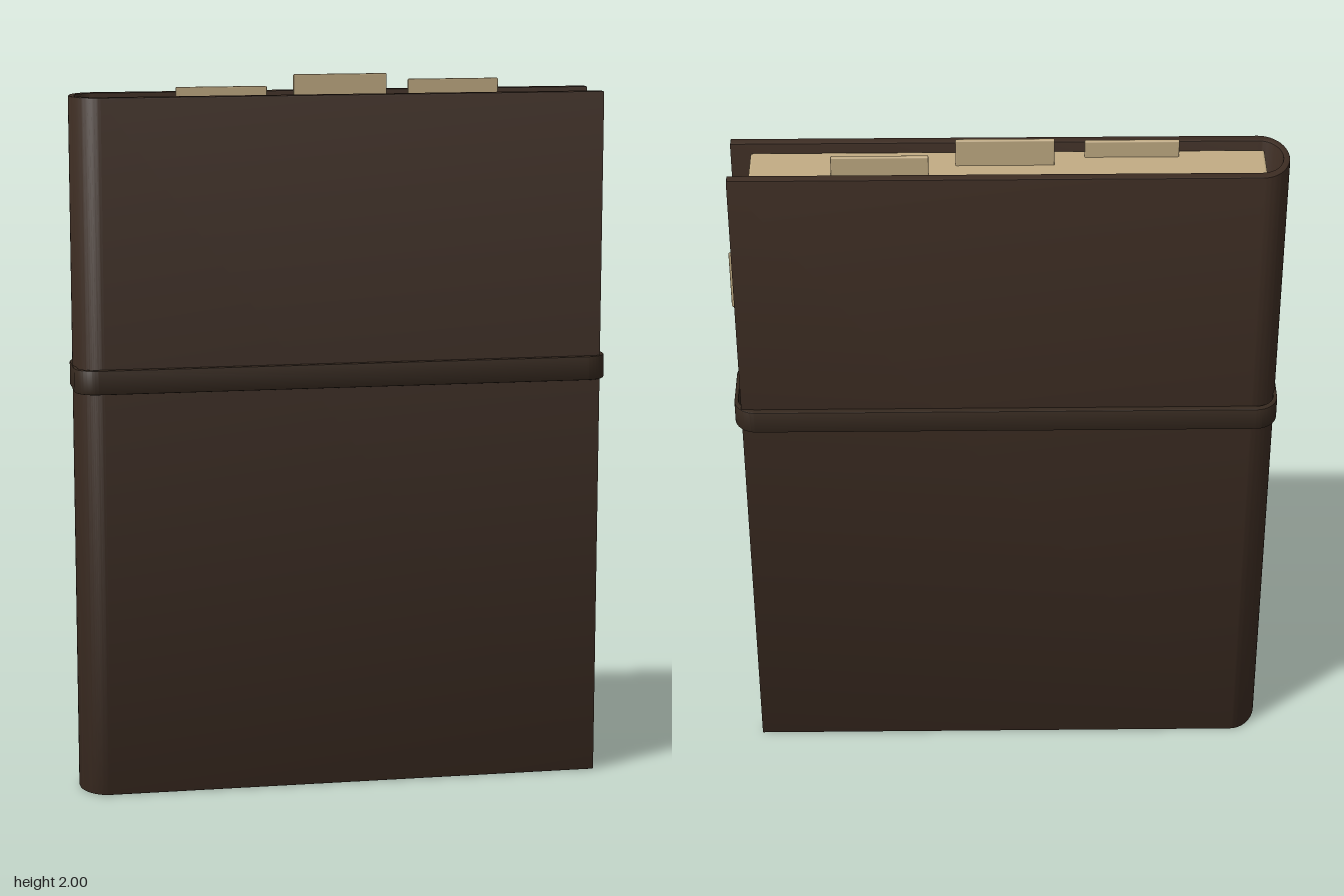
import * as THREE from 'three';
import { toCreasedNormals } from 'three/addons/utils/BufferGeometryUtils.js';
import { RoundedBoxGeometry } from 'three/addons/geometries/RoundedBoxGeometry.js';

const flat = (name, color) => {
  const m = new THREE.MeshStandardMaterial({ color });
  m.name = name;
  return m;
};

// Extrude a plan outline (x, z) upwards from y0 to y1 with a small bevel
function extrudeUp(shape, y0, y1, bevel) {
  const g = new THREE.ExtrudeGeometry(shape, {
    depth: y1 - y0 - 2 * bevel, curveSegments: 20, bevelEnabled: true,
    bevelThickness: bevel, bevelSize: bevel, bevelOffset: -bevel, bevelSegments: 2,
  });
  g.rotateX(-Math.PI / 2).translate(0, y0 + bevel, 0);
  return toCreasedNormals(g, 0.6);
}

// Rounded rectangle drawn onto a Shape or Path
function roundedRect(path, x0, x1, h, r) {
  path.moveTo(x0 + r, -h);
  path.lineTo(x1 - r, -h);
  path.absarc(x1 - r, -h + r, r, -Math.PI / 2, 0, false);
  path.absarc(x1 - r, h - r, r, 0, Math.PI / 2, false);
  path.absarc(x0 + r, h - r, r, Math.PI / 2, Math.PI, false);
  path.absarc(x0 + r, -h + r, r, Math.PI, Math.PI * 1.5, false);
  return path;
}

export function createModel() {
  const model = new THREE.Group();
  model.name = 'notebook';
  const leather = flat('dark brown leather', 0x3c2c22);
  const strap = flat('strap brown', 0x36291f);
  const paper = flat('aged paper', 0xc2ac84);

  const add = (name, geometry, material) => {
    const mesh = new THREE.Mesh(geometry, material);
    mesh.name = name;
    model.add(mesh);
    return mesh;
  };

  // Wraparound cover: two boards joined by a rounded spine
  const edge = 0.725, bend = -0.67, outer = 0.105, inner = 0.077;
  const cover = new THREE.Shape();
  cover.moveTo(edge, outer);
  cover.lineTo(bend, outer);
  cover.absellipse(bend, 0, 0.078, outer, Math.PI / 2, Math.PI * 1.5, false);
  cover.lineTo(edge, -outer);
  cover.lineTo(edge, -inner);
  cover.lineTo(bend, -inner);
  cover.absellipse(bend, 0, 0.06, inner, Math.PI * 1.5, Math.PI / 2, true);
  cover.lineTo(edge, inner);
  cover.closePath();
  add('cover', extrudeUp(cover, 0, 1.95, 0.004), leather);

  // Page block
  const pages = add('pages', new RoundedBoxGeometry(1.36, 1.877, 0.15, 2, 0.007), paper);
  pages.position.set(-0.008, 0.986, 0);

  // Strap looped around the closed book
  const band = roundedRect(new THREE.Shape(), -0.75, 0.746, 0.123, 0.062);
  band.holes.push(roundedRect(new THREE.Path(), -0.739, 0.735, 0.104, 0.05));
  add('strap', extrudeUp(band, 1.143, 1.21, 0.003), strap);

  // Index tabs: x range, y range, z
  const tabs = [
    ['topTabFront', -0.46, -0.21, 1.8, 1.972, 0.047],
    ['topTabMiddle', -0.13, 0.13, 1.8, 2.0, 0.01],
    ['topTabBack', 0.2, 0.456, 1.8, 1.98, -0.037],
    ['sideTab', 0.55, 0.738, 1.503, 1.675, -0.028],
  ];
  for (const [name, x0, x1, y0, y1, z] of tabs) {
    const tab = add(name, new RoundedBoxGeometry(x1 - x0, y1 - y0, 0.012, 1, 0.003), paper);
    tab.position.set((x0 + x1) / 2, (y0 + y1) / 2, z);
  }
  return model;
}
